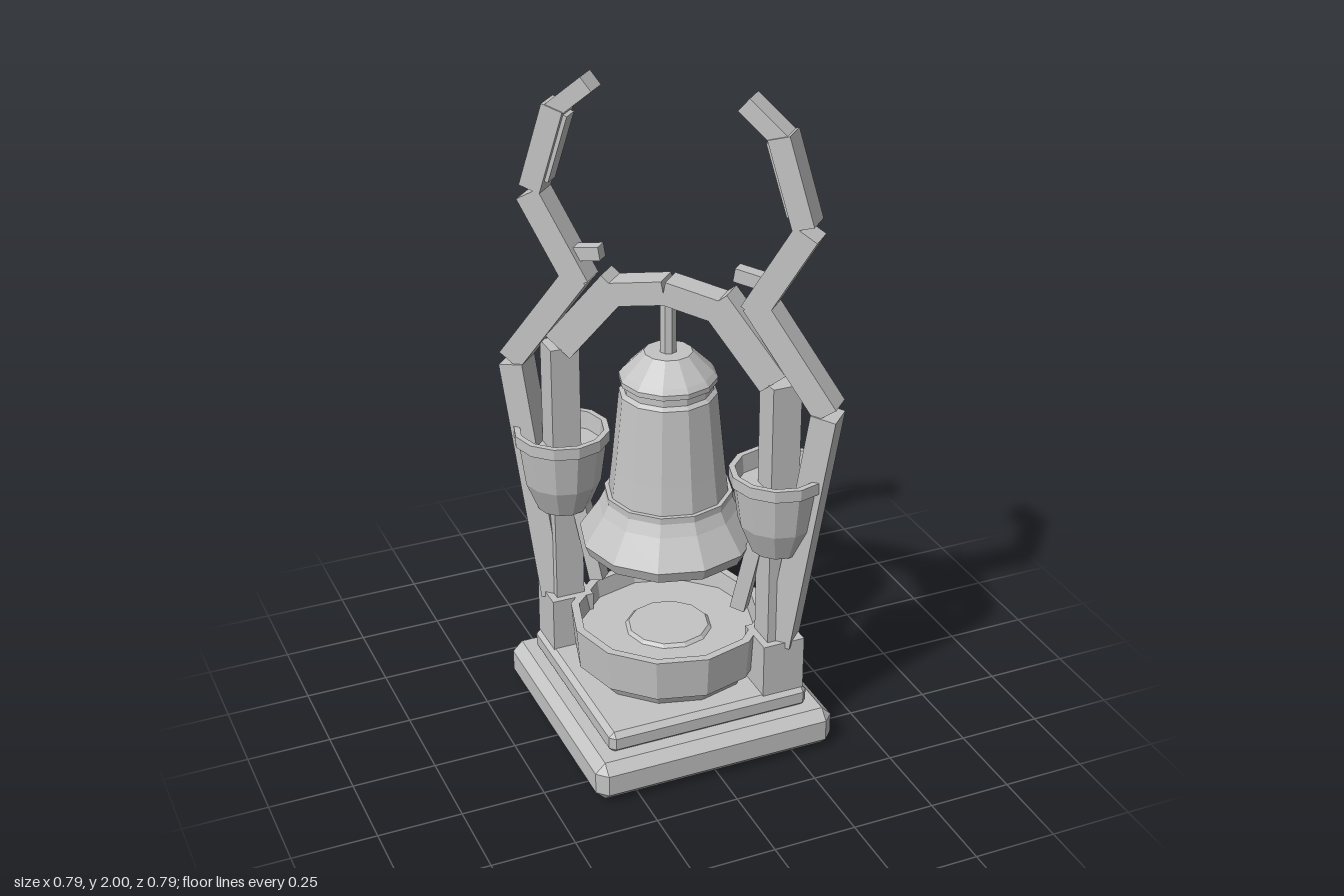
import * as THREE from 'three';
import { ConvexGeometry } from 'three/addons/geometries/ConvexGeometry.js';

const stone = new THREE.MeshStandardMaterial({ color: 0xc4c4c4 });
stone.name = 'stone grey';

// Facet a geometry and wrap it in a named mesh
function part(name, geometry, parent) {
  const g = geometry.index ? geometry.toNonIndexed() : geometry;
  g.computeVertexNormals();
  const mesh = new THREE.Mesh(g, stone);
  mesh.name = name;
  parent.add(mesh);
  return mesh;
}

// Box with every edge chamfered by c
function chamferBox(half, y0, y1, c) {
  const points = [];
  for (const sx of [-1, 1]) for (const sz of [-1, 1]) for (const top of [0, 1]) {
    const y = top ? y1 : y0, yi = top ? y1 - c : y0 + c;
    points.push(
      new THREE.Vector3(sx * (half - c), y, sz * (half - c)),
      new THREE.Vector3(sx * half, yi, sz * (half - c)),
      new THREE.Vector3(sx * (half - c), yi, sz * half));
  }
  return new ConvexGeometry(points);
}

function lathe(points, sides = 12) {
  return new THREE.LatheGeometry(points.map(([r, y]) => new THREE.Vector2(r, y)), sides);
}

function box(w, y0, y1, d = w) {
  return new THREE.BoxGeometry(w, y1 - y0, d).translate(0, (y0 + y1) / 2, 0);
}

// Straight bar between two points of the arch plane
function bar([x0, y0], [x1, y1], width, depth) {
  const g = new THREE.BoxGeometry(width, Math.hypot(x1 - x0, y1 - y0), depth);
  g.rotateZ(-Math.atan2(x1 - x0, y1 - y0));
  return g.translate((x0 + x1) / 2, (y0 + y1) / 2, 0);
}

export function createModel() {
  const model = new THREE.Group();
  model.name = 'bellShrine';

  // Stepped base
  part('lowerPlinth', chamferBox(0.377, 0, 0.125, 0.03), model);
  part('upperPlinth', chamferBox(0.315, 0.12, 0.188, 0.016), model);

  // Basin below the bell
  part('basin', lathe([
    [0, 0.185], [0.25, 0.185], [0.265, 0.215], [0.285, 0.225], [0.295, 0.355],
    [0.27, 0.355], [0.262, 0.3], [0.13, 0.3], [0.12, 0.31], [0, 0.31],
  ]), model);

  // Hollow bell, drawn from the inside crown over the rim to the outside crown
  part('bell', lathe([
    [0, 1.08], [0.1, 1.06], [0.14, 0.8], [0.17, 0.72], [0.235, 0.605],
    [0.248, 0.6], [0.262, 0.635], [0.205, 0.72], [0.188, 0.755], [0.188, 0.775],
    [0.175, 0.775], [0.165, 0.86], [0.142, 1.09], [0.13, 1.1], [0.13, 1.12],
    [0.142, 1.125], [0.142, 1.14], [0.13, 1.155], [0.07, 1.215], [0, 1.215],
  ]), model);
  part('clapperRod', new THREE.CylinderGeometry(0.02, 0.02, 0.5, 8).translate(0, 0.84, 0), model);
  part('clapper', lathe([
    [0, 0.525], [0.042, 0.525], [0.062, 0.575], [0.06, 0.6], [0.025, 0.66], [0, 0.66],
  ], 8), model);
  part('bellHanger', new THREE.CylinderGeometry(0.025, 0.025, 0.2, 8).translate(0, 1.29, 0), model);

  // Two opposite corners, each with a foot, a post and a cup
  for (const s of [1, -1]) {
    const corner = new THREE.Group();
    corner.name = s > 0 ? 'frontCorner' : 'backCorner';
    corner.position.set(s * 0.238, 0, s * 0.238);
    model.add(corner);
    part('foot', box(0.13, 0.185, 0.355), corner);
    part('post', box(0.088, 0.35, 1.18), corner);
    part('cup', lathe([
      [0, 0.65], [0.078, 0.65], [0.115, 0.74], [0.132, 0.865], [0.143, 0.87],
      [0.143, 0.905], [0.125, 0.905], [0.12, 0.85], [0, 0.85],
    ]), corner);
  }

  // Arch and horned arms stand along the diagonal of the base
  const frame = new THREE.Group();
  frame.name = 'diagonalFrame';
  frame.rotation.y = -Math.PI / 4;
  model.add(frame);
  const D = 0.078;
  const pieces = [
    ['archSegment', [0, 1.405], [0.16, 1.375], 0.07, D],
    ['archBrace', [0.15, 1.4], [0.325, 1.185], 0.095, D],
    ['lowerStrut', [0.29, 0.72], [0.225, 0.42], 0.045, 0.045],
    ['leg', [0.36, 0.34], [0.475, 1.105], 0.075, D + 0.01],
    ['shoulder', [0.48, 1.115], [0.265, 1.415], 0.075, D],
    ['forearm', [0.26, 1.385], [0.408, 1.64], 0.075, D],
    ['thorn', [0.29, 1.47], [0.2, 1.485], 0.04, 0.04],
    ['horn', [0.4, 1.655], [0.325, 1.9], 0.065, D],
    ['hornPanel', [0.36, 1.68], [0.298, 1.88], 0.025, 0.05],
    ['hornTip', [0.335, 1.885], [0.225, 1.978], 0.05, D - 0.01],
  ];
  for (const s of [1, -1]) {
    const side = new THREE.Group();
    side.name = s > 0 ? 'frontArm' : 'backArm';
    side.rotation.y = s > 0 ? 0 : Math.PI;
    frame.add(side);
    for (const [name, a, b, w, d] of pieces) part(name, bar(a, b, w, d), side);
  }
  return model;
}
